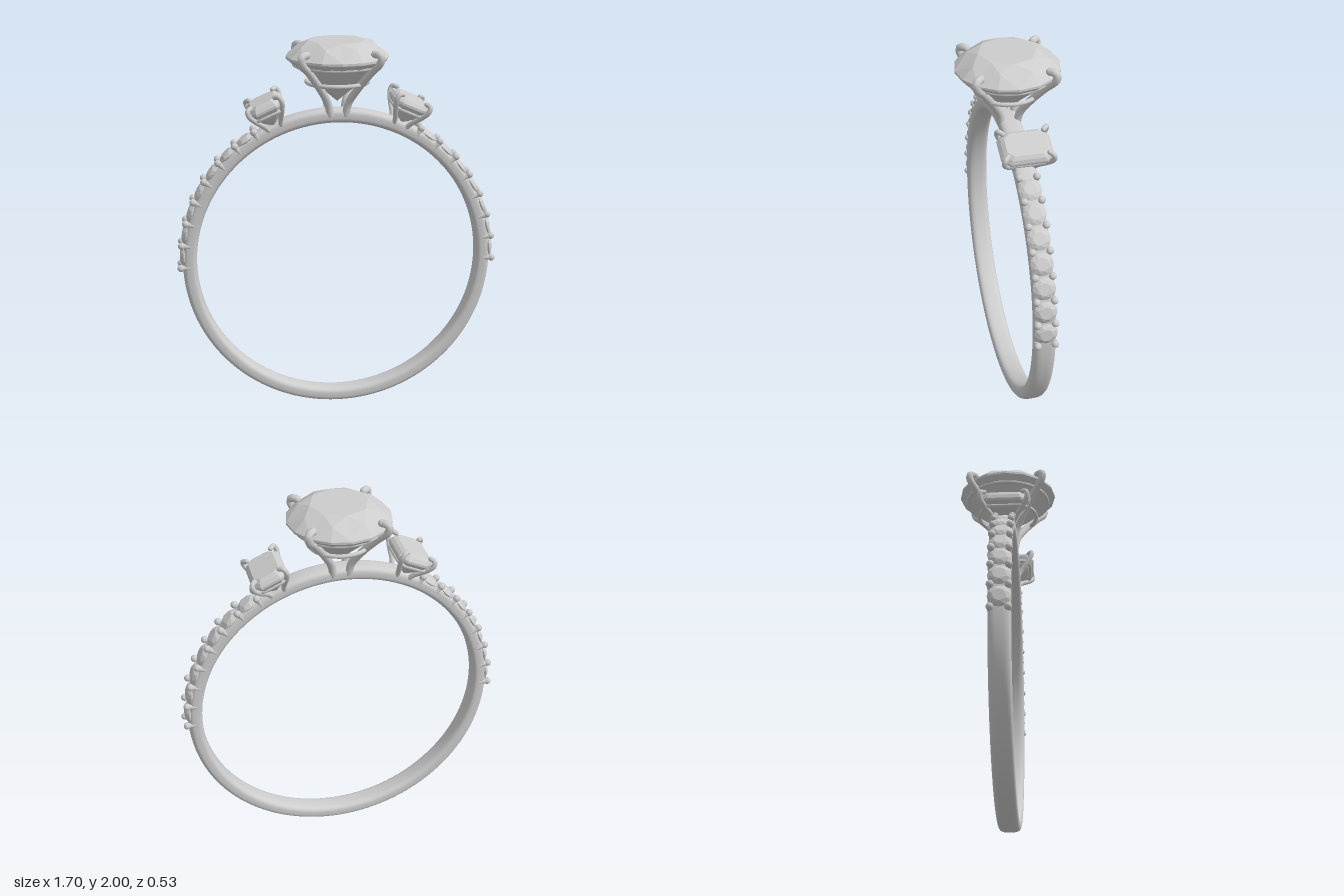
import * as THREE from 'three';

const silver = new THREE.MeshStandardMaterial({ color: 0xcccccc });
silver.name = 'silver grey';

const CENTRE_Y = 0.825;
const V = (x, y, z) => new THREE.Vector3(x, y, z);

function mesh(geometry, name, parent) {
  const m = new THREE.Mesh(geometry, silver);
  m.name = name;
  parent.add(m);
  return m;
}

// Unshared corners give every facet its own flat normal
function facets(tris) {
  const g = new THREE.BufferGeometry().setFromPoints(tris);
  g.computeVertexNormals();
  return g;
}

const polar = (r, y, deg) => {
  const a = THREE.MathUtils.degToRad(deg);
  return V(r * Math.cos(a), y, r * Math.sin(a));
};

// Round brilliant cut with the girdle at y = 0
function brilliant(r) {
  const table = (k) => polar(r * 0.56, r * 0.3, 45 * k);
  const mid = (k) => polar(r * 0.78, r * 0.2, 45 * k + 22.5);
  const girdle = (j) => polar(r, 0, 22.5 * j);
  const lower = (j) => polar(r, -r * 0.045, 22.5 * j);
  const top = V(0, r * 0.3, 0), culet = V(0, -r * 0.9, 0);
  const t = [];
  for (let k = 0; k < 8; k++) {
    t.push(top, table(k + 1), table(k));
    t.push(table(k), table(k + 1), mid(k));
    t.push(table(k), mid(k), girdle(2 * k), table(k), girdle(2 * k), mid(k - 1));
    t.push(mid(k), girdle(2 * k + 1), girdle(2 * k));
    t.push(mid(k), girdle(2 * k + 2), girdle(2 * k + 1));
  }
  for (let j = 0; j < 16; j++) {
    t.push(girdle(j), girdle(j + 1), lower(j), girdle(j + 1), lower(j + 1), lower(j));
    t.push(lower(j), lower(j + 1), culet);
  }
  return facets(t);
}

// Clipped-corner rectangle, ordered from +x towards +z
function octagon(w, d, c, y) {
  return [[w, -d + c], [w, d - c], [w - c, d], [-w + c, d], [-w, d - c], [-w, -d + c], [-w + c, -d], [w - c, -d]]
    .map(([x, z]) => V(x, y, z));
}

// Step cut: stacked octagons from table down to a narrow keel
function stepCut() {
  const rings = [
    octagon(0.068, 0.1, 0.03, 0.036),
    octagon(0.085, 0.117, 0.036, 0.022),
    octagon(0.095, 0.13, 0.04, 0.004),
    octagon(0.095, 0.13, 0.04, -0.008),
    octagon(0.066, 0.1, 0.03, -0.05),
    octagon(0.008, 0.045, 0.004, -0.1),
  ];
  const t = [];
  const cap = (ring, up) => {
    const c = V(0, ring[0].y, 0);
    ring.forEach((p, i) => {
      const q = ring[(i + 1) % 8];
      if (up) t.push(c, q, p); else t.push(c, p, q);
    });
  };
  cap(rings[0], true);
  for (let r = 0; r < rings.length - 1; r++) {
    for (let i = 0; i < 8; i++) {
      const n = (i + 1) % 8, u = rings[r], l = rings[r + 1];
      t.push(u[i], u[n], l[i], u[n], l[n], l[i]);
    }
  }
  cap(rings[rings.length - 1], false);
  return facets(t);
}

// Bent wire with a rounded tip
function prong(points, radius, name, parent) {
  const curve = new THREE.CatmullRomCurve3(points);
  mesh(new THREE.TubeGeometry(curve, 32, radius, 12), name, parent);
  mesh(new THREE.SphereGeometry(radius, 12, 8), name + 'Tip', parent)
    .position.copy(points[points.length - 1]);
}

// Group standing on the band, its y axis pointing away from the band centre
function onBand(deg, radius, name, parent) {
  const g = new THREE.Group();
  const a = THREE.MathUtils.degToRad(deg);
  g.name = name;
  g.position.set(radius * Math.cos(a), CENTRE_Y + radius * Math.sin(a), 0);
  g.rotation.z = a - Math.PI / 2;
  parent.add(g);
  return g;
}

function buildBand(parent) {
  // Softly squared cross-section turned around the finger axis
  const profile = [];
  const soft = (v) => Math.sign(v) * Math.pow(Math.abs(v), 0.65);
  for (let i = 0; i <= 40; i++) {
    const a = Math.PI + (i / 40) * Math.PI * 2;
    profile.push(new THREE.Vector2(0.7855 + 0.0375 * soft(Math.cos(a)), 0.056 * soft(Math.sin(a))));
  }
  const g = new THREE.LatheGeometry(profile, 128);
  g.rotateX(Math.PI / 2);
  mesh(g, 'band', parent).position.y = CENTRE_Y;
}

function buildCentreSetting(parent) {
  const setting = new THREE.Group();
  setting.name = 'centreSetting';
  parent.add(setting);
  mesh(brilliant(0.265), 'centreStone', setting).position.y = 1.92;

  // Two wire galleries below the stone
  [[0.222, 1.878], [0.158, 1.785]].forEach(([r, y]) => {
    const ring = mesh(new THREE.TorusGeometry(r, 0.011, 10, 64), 'galleryRing', setting);
    ring.rotation.x = Math.PI / 2;
    ring.position.y = y;
  });

  // Four diagonal claws
  const path = [[0.055, 1.61], [0.075, 1.68], [0.125, 1.75], [0.22, 1.855],
    [0.277, 1.91], [0.284, 1.938], [0.265, 1.951], [0.242, 1.95]];
  for (let k = 0; k < 4; k++) {
    prong(path.map(([r, y]) => polar(r, y, 45 + 90 * k)), 0.02, 'centreProng', setting);
  }
}

function buildSideSetting(deg, parent) {
  const setting = onBand(deg, 0.92, 'sideSetting', parent);
  mesh(stepCut(), 'sideStone', setting);

  // Wire gallery following the stone outline
  const loop = new THREE.CatmullRomCurve3(octagon(0.074, 0.108, 0.028, -0.035), true, 'catmullrom', 0.3);
  mesh(new THREE.TubeGeometry(loop, 64, 0.01, 8, true), 'sideGallery', setting);

  // Corner claws
  const path = [[0.035, -0.12, 0.045], [0.045, -0.09, 0.06], [0.075, -0.035, 0.1],
    [0.091, 0.008, 0.122], [0.087, 0.034, 0.12], [0.068, 0.038, 0.102]];
  for (const sx of [-1, 1]) {
    for (const sz of [-1, 1]) {
      prong(path.map(([x, y, z]) => V(sx * x, y, sz * z)), 0.013, 'sideProng', setting);
    }
  }
}

function buildShoulder(side, parent) {
  const START = -1, STEP = 8.5;
  const angle = (i) => (side > 0 ? START + STEP * i : 180 - START - STEP * i);
  const stone = brilliant(0.058);
  const bead = new THREE.SphereGeometry(0.019, 14, 10);
  const post = new THREE.CylinderGeometry(0.014, 0.014, 0.05, 10);

  // Row of small stones with bead pairs between them
  for (let i = 0; i < 8; i++) {
    const beads = onBand(angle(i), 0.833, 'shoulderBeads', parent);
    for (const sz of [-1, 1]) {
      mesh(bead, 'bead', beads).position.z = sz * 0.044;
      mesh(post, 'beadPost', beads).position.set(0, -0.025, sz * 0.044);
    }
    if (i < 7) {
      const seat = onBand(angle(i + 0.5), 0.82, 'shoulderStoneSeat', parent);
      mesh(stone, 'shoulderStone', seat);
    }
  }
}

export function createModel() {
  const ring = new THREE.Group();
  ring.name = 'ring';
  buildBand(ring);
  buildCentreSetting(ring);
  buildSideSetting(66, ring);
  buildSideSetting(114, ring);
  buildShoulder(1, ring);
  buildShoulder(-1, ring);
  return ring;
}
